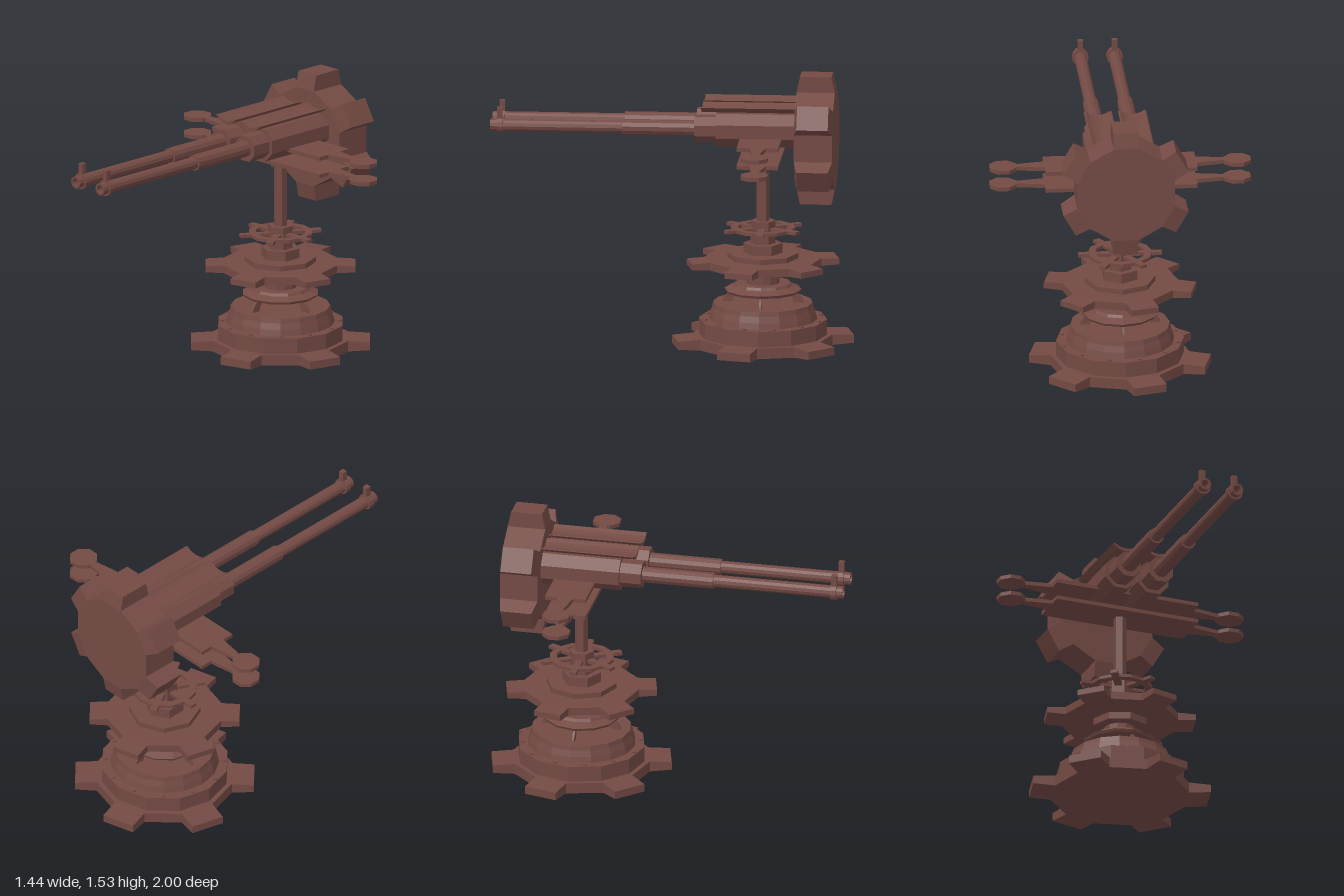
import * as THREE from 'three';

const mat = new THREE.MeshStandardMaterial({ color: 0x744a44, flatShading: true, side: THREE.DoubleSide });
const AXIS_Z = -0.5; // the pedestal stands behind the origin

function add(parent, name, geo, x = 0, y = 0, z = 0) {
  const m = new THREE.Mesh(geo, mat);
  m.name = name;
  m.position.set(x, y, z);
  parent.add(m);
  return m;
}

// outline in x/z extruded upward, from y = 0 to h
function slab(points, h, holes = []) {
  const s = new THREE.Shape(points.map(p => new THREE.Vector2(p[0], p[1])));
  holes.forEach(hole => s.holes.push(new THREE.Path(hole.map(p => new THREE.Vector2(p[0], p[1])))));
  return new THREE.ExtrudeGeometry(s, { depth: h, bevelEnabled: false, curveSegments: 8 }).rotateX(-Math.PI / 2);
}

// hexagonal cog with six teeth whose tips taper; centred, axis along y
function cog(name, tip, h, taper) {
  const g = new THREE.Group();
  g.name = name;
  const apothem = tip * 0.75, hw = tip * 0.193;
  const u0 = (apothem - hw / 2) / Math.cos(Math.PI / 6);
  const outline = [];
  for (let i = 0; i < 6; i++) {
    const a = i * Math.PI / 3, c = Math.cos(a), s = Math.sin(a);
    for (const v of [-hw, hw]) outline.push([u0 * c - v * s, u0 * s + v * c]);
    const tooth = new THREE.BoxGeometry(tip - u0, h, hw * 2);
    const p = tooth.attributes.position;
    for (let k = 0; k < p.count; k++) if (p.getX(k) > 0) p.setY(k, p.getY(k) * taper);
    tooth.translate((tip + u0) / 2, 0, 0).rotateY(a);
    add(g, 'tooth', tooth);
  }
  add(g, 'cogBody', slab(outline, h), 0, -h / 2, 0);
  return g;
}

// turned part with flat facets, profile as [radius, y] from bottom to top
function turned(profile, sides) {
  return new THREE.LatheGeometry(profile.map(p => new THREE.Vector2(p[0], p[1])), sides);
}

function buildPedestal() {
  const g = new THREE.Group();
  g.name = 'pedestal';
  g.position.z = AXIS_Z;
  const TOOTH_TURN = -Math.PI / 12;

  const base = cog('baseCog', 0.493, 0.06, 0.75);
  base.position.y = 0.03;
  base.rotation.y = TOOTH_TURN;
  g.add(base);

  add(g, 'baseDrum', turned([[0, 0.06], [0.355, 0.06], [0.355, 0.147], [0, 0.147]], 12));
  for (let i = 0; i < 12; i++) {
    const a = (i + 0.5) * Math.PI / 6;
    add(g, 'bolt', new THREE.CylinderGeometry(0.012, 0.012, 0.01, 6), 0.325 * Math.sin(a), 0.15, 0.325 * Math.cos(a));
  }
  add(g, 'bowl', turned([[0.3, 0.147], [0.292, 0.18], [0.28, 0.215], [0.275, 0.24], [0, 0.24]], 16));

  // four thin curved ribs carrying the cap
  const rib = new THREE.Shape();
  rib.moveTo(0.225, 0.235);
  rib.quadraticCurveTo(0.215, 0.28, 0.165, 0.31);
  rib.lineTo(0.115, 0.31);
  rib.quadraticCurveTo(0.16, 0.29, 0.17, 0.235);
  for (let i = 0; i < 4; i++) {
    const geo = new THREE.ExtrudeGeometry(rib, { depth: 0.012, bevelEnabled: false, curveSegments: 5 });
    add(g, 'rib', geo.translate(0, 0, -0.006)).rotation.y = i * Math.PI / 2;
  }
  add(g, 'cap', turned([[0, 0.3], [0.205, 0.3], [0.213, 0.315], [0.165, 0.335], [0.155, 0.35], [0, 0.35]], 12));

  // stacked collars: [name, radius, bottom, top, sides]
  const stack = [
    ['neck', 0.092, 0.35, 0.405, 12], ['lowerFlange', 0.158, 0.405, 0.446, 8],
    ['upperFlange', 0.197, 0.488, 0.518, 8], ['hexCollar', 0.108, 0.518, 0.573, 6],
    ['hexHub', 0.07, 0.573, 0.7, 6], ['post', 0.037, 0.7, 1.085, 6]
  ];
  for (const [name, r, y0, y1, n] of stack)
    add(g, name, new THREE.CylinderGeometry(r, r, y1 - y0, n), 0, (y0 + y1) / 2, 0);

  const middle = cog('middleCog', 0.413, 0.044, 0.75);
  middle.position.y = 0.467;
  middle.rotation.y = TOOTH_TURN;
  g.add(middle);

  // spoked hand wheel
  const wheel = new THREE.Group();
  wheel.name = 'handWheel';
  wheel.position.y = 0.645;
  g.add(wheel);
  const ring = r => Array.from({ length: 12 }, (_, i) => [r * Math.cos(i * Math.PI / 6), r * Math.sin(i * Math.PI / 6)]);
  add(wheel, 'rim', slab(ring(0.18), 0.018, [ring(0.14)]));
  for (let i = 0; i < 6; i++) {
    const a = i * Math.PI / 3;
    add(wheel, 'spoke', new THREE.BoxGeometry(0.18, 0.018, 0.04).translate(0.14, 0.009, 0).rotateY(a));
  }
  return g;
}

// flat wing plate with a round grip at each end
function wingPlate() {
  const half = [[0.42, -0.115], [0.42, -0.045], [0.575, -0.02]];
  for (let i = 0; i < 8; i++) {
    const a = -Math.PI * 7 / 8 + i * Math.PI / 4;
    half.push([0.648 + 0.08 * Math.cos(a), 0.08 * Math.sin(a)]);
  }
  half.push([0.575, 0.02], [0.42, 0.045], [0.42, 0.115]);
  return slab([...half, ...half.map(([x, z]) => [-x, -z])], 0.022);
}

function buildGun(side) {
  const g = new THREE.Group();
  g.name = side > 0 ? 'leftGun' : 'rightGun';
  g.position.set(side * 0.095, 1.235, 0);

  // receiver, sleeve and barrel segments: [name, radius, back z, front z, sides]
  const segs = [
    ['receiver', 0.099, -0.7, -0.25, 8], ['sleeve', 0.077, -0.25, -0.13, 8],
    ['barrelJacket', 0.045, -0.13, 0.27, 12]
  ];
  for (const [name, r, z0, z1, n] of segs)
    add(g, name, new THREE.CylinderGeometry(r, r, z1 - z0, n).rotateY(Math.PI / n).rotateX(Math.PI / 2), 0, 0, (z0 + z1) / 2);

  // hollow barrel and muzzle collar with its sight post
  const bore = turned([[0.035, 0.27], [0.035, 1], [0.023, 1], [0.023, 0.9], [0, 0.9]], 12);
  add(g, 'barrel', bore.rotateX(Math.PI / 2));
  add(g, 'muzzleCollar', new THREE.CylinderGeometry(0.046, 0.046, 0.032, 12, 1, true).rotateX(Math.PI / 2), 0, 0, 0.948);
  for (const z of [0.932, 0.964]) add(g, 'collarFace', new THREE.RingGeometry(0.033, 0.046, 12), 0, 0, z);
  add(g, 'sightPost', new THREE.BoxGeometry(0.03, 0.06, 0.03), 0, 0.07, 0.948);

  // curved trough along the top
  const trough = new THREE.Shape();
  trough.moveTo(-0.078, 0.132);
  trough.quadraticCurveTo(0, 0.055, 0.078, 0.132);
  trough.lineTo(0.07, 0.135);
  trough.quadraticCurveTo(0, 0.09, -0.07, 0.135);
  const geo = new THREE.ExtrudeGeometry(trough, { depth: 0.53, bevelEnabled: false, curveSegments: 6 });
  add(g, 'topTrough', geo, 0, 0, -0.7);
  return g;
}

export function createModel() {
  const model = new THREE.Group();
  model.name = 'twinGunTurret';
  model.add(buildPedestal());

  for (const y of [1.078, 1.178]) add(model, 'wingPlate', wingPlate(), 0, y, AXIS_Z);
  for (const side of [-1, 1]) model.add(buildGun(side));

  // large upright cog closing the back
  const rear = cog('rearCog', 0.36, 0.212, 0.82);
  rear.rotation.order = 'XYZ';
  rear.rotation.set(Math.PI / 2, Math.PI / 6, 0);
  rear.position.set(0, 1.168, -0.796);
  model.add(rear);
  return model;
}
